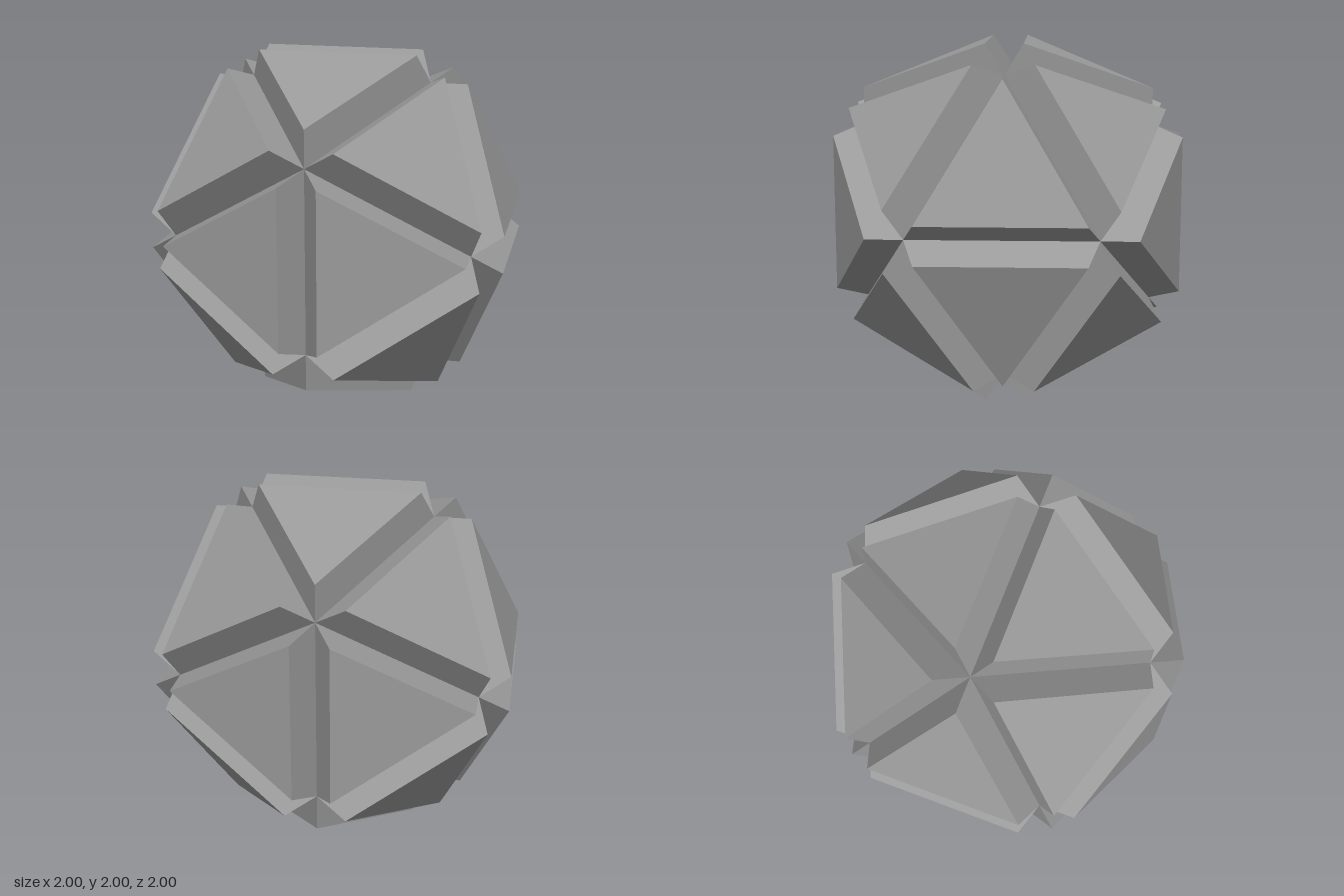
import * as THREE from 'three';

const RADIUS = 0.98;  // corner distance of the core icosahedron
const RAISE = 0.193;  // height of each raised plate
const TAPER = 0.874;  // size of a plate's top relative to its base

// Tapered triangular plate standing on one face of the icosahedron
function plateGeometry(base) {
  const centre = new THREE.Vector3();
  base.forEach((v) => centre.addScaledVector(v, 1 / 3));
  const lift = centre.clone().setLength(RAISE);
  const top = base.map((v) => centre.clone().lerp(v, TAPER).add(lift));

  const points = [...top];
  for (let i = 0; i < 3; i++) {
    const j = (i + 1) % 3;
    points.push(base[i], base[j], top[j], base[i], top[j], top[i]);
  }
  const geometry = new THREE.BufferGeometry().setFromPoints(points);
  geometry.computeVertexNormals();
  return geometry;
}

export function createModel() {
  const model = new THREE.Group();
  model.name = 'platedIcosahedron';
  const material = new THREE.MeshStandardMaterial({
    color: 0x9a9a9a, flatShading: true, side: THREE.DoubleSide,
  });

  // One raised plate per face; neighbouring plates leave V-shaped grooves
  const corners = new THREE.IcosahedronGeometry(RADIUS, 0).getAttribute('position');
  for (let f = 0; f < corners.count; f += 3) {
    const base = [0, 1, 2].map((i) => new THREE.Vector3().fromBufferAttribute(corners, f + i));
    const plate = new THREE.Mesh(plateGeometry(base), material);
    plate.name = `raisedPlate${f / 3 + 1}`;
    plate.position.y = 1;
    model.add(plate);
  }
  return model;
}
